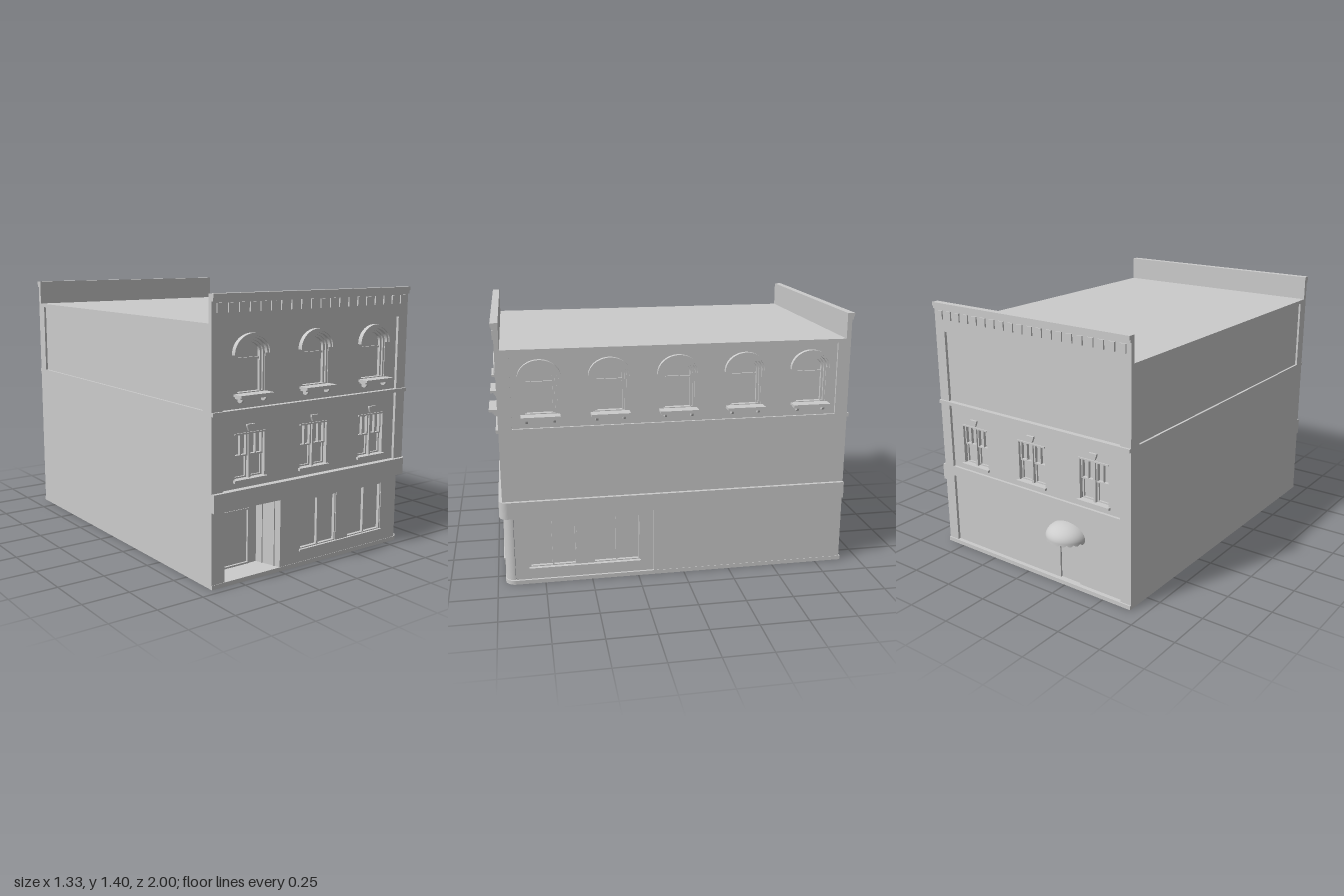
import * as THREE from 'three';

const mat = new THREE.MeshStandardMaterial({ color: 0xcccccc, side: THREE.DoubleSide });

function add(parent, name, geo) {
  const m = new THREE.Mesh(geo, mat);
  m.name = name;
  parent.add(m);
  return m;
}

// Box given by its limits: across, up, outward
function box(parent, name, x0, x1, y0, y1, z0, z1) {
  const m = add(parent, name, new THREE.BoxGeometry(x1 - x0, y1 - y0, z1 - z0));
  m.position.set((x0 + x1) / 2, (y0 + y1) / 2, (z0 + z1) / 2);
  return m;
}

function rect(p, x0, x1, y0, y1) {
  p.moveTo(x0, y0); p.lineTo(x1, y0); p.lineTo(x1, y1); p.lineTo(x0, y1); p.lineTo(x0, y0);
  return p;
}

function arch(p, cx, rx, ry, y0, spring) {
  p.moveTo(cx - rx, y0); p.lineTo(cx + rx, y0); p.lineTo(cx + rx, spring);
  p.absellipse(cx, spring, rx, ry, 0, Math.PI, false);
  p.lineTo(cx - rx, y0);
  return p;
}

// Flat shape with holes whose outer face lies at z = face
function plate(parent, name, shape, holes, face, depth) {
  shape.holes.push(...holes);
  const m = add(parent, name, new THREE.ExtrudeGeometry(shape, { depth, bevelEnabled: false, curveSegments: 20 }));
  m.position.z = face - depth;
  return m;
}
const wall = (parent, name, x0, x1, y0, y1, face, depth, holes = []) =>
  plate(parent, name, rect(new THREE.Shape(), x0, x1, y0, y1), holes, face, depth);
const hole = (x0, x1, y0, y1) => rect(new THREE.Path(), x0, x1, y0, y1);
const frame = (parent, name, x0, x1, y0, y1, t, face, depth) =>
  wall(parent, name, x0, x1, y0, y1, face, depth, [hole(x0 + t, x1 - t, y0 + t, y1 - t)]);

const SPRING = 1.117;
const archHole = cx => arch(new THREE.Path(), cx, 0.088, 0.073, 0.925, SPRING);

// Round-topped window with hood mould and bracketed sill
function archedWindow(parent, cx, face) {
  const g = new THREE.Group();
  g.name = 'archedWindow';
  g.position.set(cx, 0, face);
  parent.add(g);
  [[0.088, 0.073, -0.004], [0.077, 0.062, -0.014]].forEach(([rx, ry, f]) =>
    plate(g, 'windowFrame', arch(new THREE.Shape(), 0, rx, ry, 0.925, SPRING),
      [arch(new THREE.Path(), 0, rx - 0.011, ry - 0.011, 0.932, SPRING)], f, 0.02));
  plate(g, 'windowPane', arch(new THREE.Shape(), 0, 0.08, 0.065, 0.925, SPRING), [], -0.03, 0.004);
  box(g, 'meetingRail', -0.068, 0.068, 1.084, 1.094, -0.032, -0.02);
  [[0.11, 0.095, 0.098, 0.083, 0.024], [0.1, 0.085, 0.088, 0.073, 0.015]].forEach(([ro, so, ri, si, d]) => {
    const s = new THREE.Shape(), y = SPRING - 0.004;
    s.moveTo(ri, y); s.lineTo(ro, y); s.lineTo(ro, SPRING);
    s.absellipse(0, SPRING, ro, so, 0, Math.PI, false);
    s.lineTo(-ro, y); s.lineTo(-ri, y); s.lineTo(-ri, SPRING);
    s.absellipse(0, SPRING, ri, si, Math.PI, 0, true);
    plate(g, 'hoodMould', s, [], d, d);
  });
  box(g, 'sill', -0.1, 0.1, 0.916, 0.928, -0.02, 0.06);
  box(g, 'sillMoulding', -0.092, 0.092, 0.906, 0.916, -0.01, 0.042);
  for (const s of [-1, 1]) {
    const b = add(g, 'sillBracket', new THREE.CylinderGeometry(0.02, 0.02, 0.012, 16));
    b.rotation.z = Math.PI / 2;
    b.position.set(s * 0.07, 0.906, 0.014);
    b.scale.z = 1.2;
  }
}

// Paired sash windows with keystone and sill
function sashPair(parent, cx, face) {
  const g = new THREE.Group();
  g.name = 'sashWindowPair';
  g.position.set(cx, 0, face);
  parent.add(g);
  box(g, 'windowPane', -0.09, 0.09, 0.51, 0.735, -0.034, -0.03);
  box(g, 'centreMullion', -0.006, 0.006, 0.51, 0.735, -0.03, -0.003);
  for (const s of [-1, 1]) {
    const x0 = s < 0 ? -0.088 : 0.006, x1 = x0 + 0.082;
    frame(g, 'upperSash', x0, x1, 0.62, 0.733, 0.008, -0.012, 0.018);
    box(g, 'upperMuntin', (x0 + x1) / 2 - 0.003, (x0 + x1) / 2 + 0.003, 0.625, 0.728, -0.03, -0.014);
    frame(g, 'lowerSash', x0, x1, 0.512, 0.628, 0.008, -0.02, 0.012);
  }
  box(g, 'lintel', -0.094, 0.094, 0.73, 0.738, -0.01, 0.006);
  box(g, 'sill', -0.1, 0.1, 0.5, 0.513, -0.02, 0.016);
  const k = new THREE.Shape();
  k.moveTo(-0.015, 0.746); k.lineTo(0.015, 0.746); k.lineTo(0.024, 0.768);
  k.lineTo(0.024, 0.778); k.lineTo(-0.024, 0.778); k.lineTo(-0.024, 0.768);
  plate(g, 'keystone', k, [], 0.012, 0.012);
}

function shopWindow(parent, x0, x1, face) {
  box(parent, 'shopPane', x0, x1, 0.088, 0.35, face - 0.026, face - 0.022);
  frame(parent, 'shopFrame', x0, x1, 0.088, 0.35, 0.007, face - 0.004, 0.02);
  const c = (x0 + x1) / 2;
  box(parent, 'shopMullion', c - 0.004, c + 0.004, 0.09, 0.348, face - 0.024, face - 0.006);
}

const HW = 0.6425, BAYS = [-0.407, 0, 0.407], PANEL = -0.015;

// Upper floors and cornice shared by front and back
function facade(g, arched) {
  for (const s of [-1, 1]) {
    const a = s < 0 ? -HW : 0.5775;
    box(g, 'pilaster', a, a + 0.065, 0.47, 1.25, -0.025, 0);
  }
  wall(g, 'upperWall', -0.58, 0.58, 0.85, 1.25, PANEL, 0.02, arched ? BAYS.map(archHole) : []);
  wall(g, 'middleWall', -0.58, 0.58, 0.465, 0.85, PANEL, 0.02, BAYS.map(c => hole(c - 0.09, c + 0.09, 0.51, 0.735)));
  BAYS.forEach(c => {
    sashPair(g, c, PANEL);
    if (arched) archedWindow(g, c, PANEL);
  });
  box(g, 'beltCourse', -HW, HW, 0.838, 0.857, -0.02, 0.012);
  box(g, 'parapet', -HW, HW, 1.245, 1.4, -0.025, 0);
  box(g, 'corniceCap', -HW, HW, 1.38, 1.4, -0.02, 0.014);
  box(g, 'corniceBed', -HW, HW, 1.365, 1.38, -0.02, 0.008);
  for (let i = 0; i < 20; i++) {
    const c = -0.598 + i * 1.196 / 19;
    box(g, 'dentil', c - 0.0175, c + 0.0175, 1.312, 1.358, -0.005, 0.008);
  }
}

// Strip along front and right sides with a rounded street corner
function cornerStrip(parent, name, out, r, y0, y1) {
  const x = 0.615 + out, z = 0.957 + out, t = out + 0.02, s = new THREE.Shape();
  s.moveTo(-0.67, -z); s.lineTo(x - r, -z);
  s.absarc(x - r, -z + r, r, -Math.PI / 2, 0, false);
  s.lineTo(x, 0.89); s.lineTo(x - t, 0.89); s.lineTo(x - t, -z + r);
  s.absarc(x - r, -z + r, r - t, 0, -Math.PI / 2, true);
  s.lineTo(-0.67, -z + t);
  const m = add(parent, name, new THREE.ExtrudeGeometry(s, { depth: y1 - y0, bevelEnabled: false, curveSegments: 12 }));
  m.rotation.x = -Math.PI / 2;
  m.position.y = y0;
}

export function createModel() {
  const root = new THREE.Group();
  root.name = 'cornerBuilding';
  const side = (name, x, z, turn) => {
    const g = new THREE.Group();
    g.name = name;
    g.position.set(x, 0, z);
    g.rotation.y = turn;
    root.add(g);
    return g;
  };

  // Front: shop windows and splayed entrance
  const front = side('frontSide', -0.0275, 0.957, 0);
  facade(front, true);
  wall(front, 'shopFront', -HW, 0.5825, 0.01, 0.47, 0, 0.025,
    [hole(-0.5675, -0.2225, 0.022, 0.372), hole(-0.0925, 0.1555, 0.088, 0.35), hole(0.24, 0.4885, 0.088, 0.35)]);
  shopWindow(front, -0.0925, 0.1555, 0);
  shopWindow(front, 0.24, 0.4885, 0);
  box(front, 'shopSill', -0.097, 0.493, 0.08, 0.09, -0.01, 0.01);
  const D = 0.14, lobby = new THREE.Shape();
  lobby.moveTo(-0.5675, 0); lobby.lineTo(-0.2225, 0); lobby.lineTo(-0.265, D); lobby.lineTo(-0.52, D);
  for (const y of [0.022, 0.372]) {
    const m = add(front, y < 0.1 ? 'entranceFloor' : 'entranceCeiling', new THREE.ShapeGeometry(lobby));
    m.rotation.x = -Math.PI / 2;
    m.position.y = y;
  }
  for (const [a, b] of [[-0.5675, -0.52], [-0.2225, -0.265]]) {
    const m = add(front, 'entranceJamb', new THREE.PlaneGeometry(Math.hypot(b - a, D), 0.35));
    m.position.set((a + b) / 2, 0.197, -D / 2);
    m.rotation.y = Math.atan2(D, b - a);
    for (const t of [0.25, 0.75])
      box(front, 'jambTrim', a + (b - a) * t - 0.004, a + (b - a) * t + 0.004, 0.022, 0.372, -D * t - 0.004, -D * t + 0.004);
  }
  wall(front, 'entranceBack', -0.52, -0.265, 0.022, 0.372, -D, 0.01, [hole(-0.474, -0.312, 0.024, 0.315)]);
  box(front, 'door', -0.474, -0.312, 0.022, 0.315, -D - 0.012, -D - 0.008);
  frame(front, 'doorFrame', -0.474, -0.312, 0.022, 0.315, 0.009, -D + 0.004, 0.012);

  // Back: blank upper panel, service door and dome awning
  const back = side('backSide', -0.0275, -0.89, Math.PI);
  facade(back, false);
  wall(back, 'groundFrame', -HW, HW, 0, 0.475, 0, 0.02, [hole(-0.5775, 0.5775, 0.022, 0.42)]);
  wall(back, 'groundPanel', -0.58, 0.58, 0.015, 0.425, PANEL, 0.01, [hole(0.1775, 0.3075, 0.022, 0.28)]);
  box(back, 'backDoor', 0.1775, 0.3075, 0.02, 0.28, -0.032, -0.026);
  box(back, 'backBase', -HW, HW, 0, 0.022, -0.01, 0.008);
  const dome = add(back, 'awningDome', new THREE.SphereGeometry(0.115, 28, 12, 0, Math.PI, 0, Math.PI / 2));
  dome.scale.set(1, 0.64, 0.96);
  dome.position.set(0.2425, 0.295, 0);
  const val = new THREE.CylinderGeometry(0.115, 0.115, 0.014, 80, 1, true, -Math.PI / 2, Math.PI);
  const p = val.attributes.position;
  for (let i = 0; i < p.count; i++) if (p.getY(i) < 0) {
    const a = Math.atan2(p.getX(i), p.getZ(i));
    p.setY(i, 0.001 - 0.01 * Math.abs(Math.sin(a * 10)));
  }
  const v = add(back, 'awningValance', val);
  v.scale.z = 0.96;
  v.position.set(0.2425, 0.288, 0);

  // Right: arched windows above, shop windows near the corner
  const SL = 0.9235;
  const right = side('rightSide', 0.615, 0.0335, Math.PI / 2);
  const left = side('leftSide', -0.67, 0.0335, -Math.PI / 2);
  const rows = [-2, -1, 0, 1, 2].map(i => i * 0.355);
  for (const g of [right, left]) {
    wall(g, 'upperFrame', -SL, SL, 0.84, 1.262, 0, 0.014, [hole(-0.855, 0.855, 0.857, 1.245)]);
    wall(g, 'upperPanel', -0.86, 0.86, 0.85, 1.25, -0.012, 0.02, g === right ? rows.map(archHole) : []);
  }
  rows.forEach(c => archedWindow(right, c, -0.012));
  wall(right, 'middleWall', -SL, SL, 0.45, 0.845, 0, 0.014);
  wall(right, 'rearGroundWall', -0.1315, SL, 0, 0.46, 0, 0.014);
  wall(right, 'sideShopFront', -0.8715, -0.13, 0.01, 0.46, -0.01, 0.02,
    [hole(-0.7965, -0.5465, 0.088, 0.35), hole(-0.4565, -0.2065, 0.088, 0.35)]);
  shopWindow(right, -0.7965, -0.5465, -0.01);
  shopWindow(right, -0.4565, -0.2065, -0.01);
  box(right, 'shopSill', -0.8, -0.203, 0.08, 0.09, -0.02, 0.008);
  wall(left, 'plainWall', -SL, SL, 0, 0.845, 0, 0.014);

  // Rounded street corner, base and band
  const c = add(root, 'roundedCorner', new THREE.CylinderGeometry(0.05, 0.05, 0.45, 16, 1, true, 0, Math.PI / 2));
  c.position.set(0.555, 0.235, 0.907);
  cornerStrip(root, 'basePlinth', 0.002, 0.055, 0, 0.022);
  cornerStrip(root, 'signBand', 0.019, 0.045, 0.38, 0.47);

  box(root, 'roof', -0.67, 0.615, 1.25, 1.265, -0.87, 0.935);
  return root;
}
